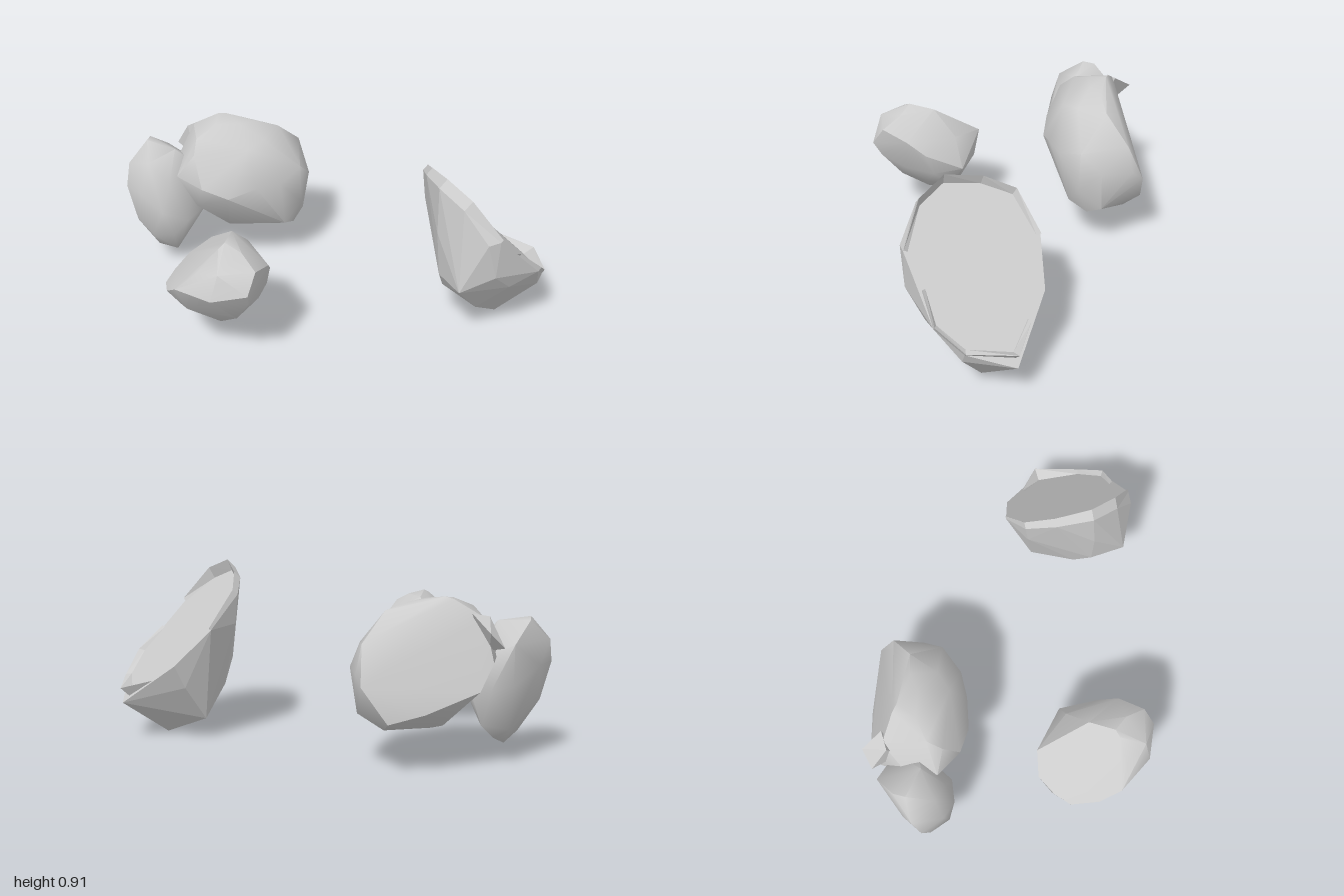
import * as THREE from 'three';
import { ConvexGeometry } from 'three/addons/geometries/ConvexGeometry.js';
import { toCreasedNormals } from 'three/addons/utils/BufferGeometryUtils.js';

const stone = new THREE.MeshStandardMaterial({ color: 0xcccccc, side: THREE.DoubleSide });
stone.name = 'greyStone';

const vectors = (list) => list.map((p) => new THREE.Vector3(...p));

// A stone chunk hulled from its corner points; edges sharper than crease stay hard
function chunk(name, points, crease) {
  const hull = new ConvexGeometry(points);
  const mesh = new THREE.Mesh(crease ? toCreasedNormals(hull, crease) : hull, stone);
  mesh.name = name;
  return mesh;
}

// Large boulder, split along a plane facing back and right
const largeBoulder = [
  // ridge along the top of the split
  [-0.72, 0.85, 0], [-0.76, 0.84, 0.02], [-0.6, 0.83, 0], [-0.46, 0.77, -0.05],
  [-0.52, 0.78, -0.2], [-0.88, 0.76, 0.1], [-0.53, 0.64, -0.36], [-0.58, 0.82, -0.1],
  // rounded front and side
  [-0.34, 0.6, -0.2], [-0.33, 0.55, -0.05], [-0.33, 0.38, -0.2], [-0.38, 0.55, 0.08],
  [-0.46, 0.5, 0.21], [-0.57, 0.55, 0.3], [-0.73, 0.58, 0.34], [-0.65, 0.72, 0.28],
  [-0.85, 0.6, 0.25], [-0.36, 0.27, -0.1], [-0.39, 0.5, -0.31], [-0.53, 0.5, -0.4],
  [-0.68, 0.83, 0.1], [-0.7, 0.78, 0.22], [-0.46, 0.75, 0.06],
  // underside
  [-0.4, 0.22, -0.2], [-0.64, 0.19, 0], [-0.5, 0.2, -0.1], [-0.7, 0.21, 0.02],
  [-0.6, 0.22, -0.28], [-0.55, 0.28, 0.14], [-0.66, 0.4, 0.27], [-0.42, 0.27, -0.29],
  // lower edge of the split
  [-0.59, 0.45, -0.42], [-0.68, 0.27, -0.33], [-0.8, 0.32, -0.2],
  [-0.94, 0.42, 0.02], [-0.95, 0.55, 0.1],
];

// Tall narrow boulder
const narrowBoulder = [
  [-0.99, 0.63, 0.2], [-0.97, 0.73, 0.33], [-0.93, 0.74, 0.38], [-0.79, 0.71, 0.3],
  [-0.72, 0.56, 0.4], [-0.66, 0.33, 0.34], [-0.71, 0.24, 0.4], [-0.77, 0.1, 0.34],
  [-0.82, 0.09, 0.33], [-0.9, 0.18, 0.28], [-0.97, 0.42, 0.22], [-0.95, 0.5, 0.52],
  [-0.97, 0.62, 0.48], [-0.82, 0.5, 0.52], [-0.9, 0.3, 0.5], [-0.78, 0.25, 0.49],
  [-0.72, 0.4, 0.46], [-0.82, 0.67, 0.46], [-0.98, 0.5, 0.4], [-0.8, 0.35, 0.12],
  [-0.84, 0.55, 0.12], [-0.7, 0.35, 0.18], [-0.82, 0.21, 0.16], [-0.75, 0.6, 0.2],
  [-0.9, 0.4, 0.14], [-0.83, 0.14, 0.42], [-0.82, 0.13, 0.25],
];

// Small splinter between the two boulders
const splinter = [
  [-0.97, 0.7, 0.05], [-0.85, 0.78, 0.05], [-0.9, 0.6, 0.12],
  [-0.88, 0.76, 0.14], [-0.98, 0.62, 0.14], [-0.82, 0.6, 0.15],
];

// Middle boulder with a tilted split on top
const middleBoulder = [
  // split face
  [-0.24, 0.5, 0.5], [-0.02, 0.65, 0.55], [0.09, 0.69, 0.65], [0.1, 0.69, 0.72],
  [0.07, 0.59, 0.83], [-0.01, 0.49, 0.91], [-0.12, 0.41, 0.88], [-0.24, 0.36, 0.8],
  [-0.28, 0.38, 0.71], [-0.3, 0.42, 0.6], [0.1, 0.71, 0.68], [0.02, 0.69, 0.57],
  // rounded body
  [0, 0.4, 0.36], [0.17, 0.5, 0.46], [0.24, 0.58, 0.53], [0.32, 0.53, 0.73],
  [0.3, 0.63, 0.66], [0.19, 0.68, 0.65], [0.2, 0.5, 0.86], [0.29, 0.46, 0.7],
  [0.17, 0.3, 0.68], [0.04, 0.21, 0.68], [-0.14, 0.18, 0.66], [-0.2, 0.2, 0.62],
  [-0.27, 0.28, 0.68], [-0.02, 0.56, 0.44], [-0.15, 0.4, 0.44], [0, 0.26, 0.47],
  [0, 0.35, 0.85], [0.12, 0.3, 0.52], [-0.15, 0.25, 0.77], [0.2, 0.63, 0.81],
  [0.22, 0.4, 0.58], [0.06, 0.22, 0.58], [-0.1, 0.21, 0.53], [0.13, 0.38, 0.45],
];

// Faceted shell: broken rim loop, and corners of the body below it
const rim = vectors([
  [0.35, 0.8, -0.46], [0.47, 0.87, -0.36], [0.64, 0.91, -0.28], [0.8, 0.85, -0.29],
  [0.95, 0.67, -0.36], [0.96, 0.53, -0.5], [1, 0.41, -0.63], [0.93, 0.3, -0.76],
  [0.74, 0.28, -0.91], [0.58, 0.33, -0.81], [0.45, 0.43, -0.77], [0.34, 0.62, -0.62],
]);
const shellBody = vectors([
  [0.83, 0.37, -0.2], [0.65, 0.37, -0.25], [0.64, 0.62, -0.23], [0.36, 0.62, -0.44],
  [0.47, 0.11, -0.56], [0.73, 0, -0.63], [0.6, 0.24, -0.34], [0.78, 0.16, -0.4],
  [0.92, 0.23, -0.72], [0.94, 0.45, -0.34], [0.74, 0.2, -0.9], [0.45, 0.3, -0.7],
  [0.92, 0.65, -0.29], [0.94, 0.56, -0.35], [0.93, 0.33, -0.47],
]);

// Drop the rim onto the flat split plane to get the floor outline
const splitNormal = new THREE.Vector3(0.23, 0.7, -0.67).normalize();
const splitHeight = 0.916;
const lipHeight = rim.map((p) => p.dot(splitNormal) - splitHeight);
const floor = rim.map((p, i) => p.clone().addScaledVector(splitNormal, -lipHeight[i]));

// Jagged lip standing above the floor: outer wall, then slope back inward
function lipGeometry() {
  const centre = new THREE.Vector3();
  floor.forEach((p) => centre.addScaledVector(p, 1 / floor.length));
  const inner = floor.map((p) => p.clone().lerp(centre, 0.06).addScaledVector(splitNormal, 0.002));
  const corners = [];
  const quad = (a, b, c, d) => corners.push(a, b, c, a, c, d);
  rim.forEach((p, i) => {
    const j = (i + 1) % rim.length;
    if (Math.max(lipHeight[i], lipHeight[j]) < 0.025) return;
    quad(floor[j], floor[i], p, rim[j]);
    quad(rim[j], p, inner[i], inner[j]);
  });
  const geometry = new THREE.BufferGeometry().setFromPoints(corners);
  geometry.computeVertexNormals();
  return geometry;
}

export function createModel() {
  const model = new THREE.Group();
  model.name = 'brokenBoulders';
  model.add(
    chunk('largeBoulder', vectors(largeBoulder), 0.8),
    chunk('narrowBoulder', vectors(narrowBoulder), 1.1),
    chunk('splinter', vectors(splinter)),
    chunk('middleBoulder', vectors(middleBoulder), 0.65),
  );

  const shell = new THREE.Group();
  shell.name = 'facetedBoulder';
  const lip = new THREE.Mesh(lipGeometry(), stone);
  lip.name = 'brokenLip';
  shell.add(chunk('facetedBody', [...floor, ...shellBody]), lip);
  model.add(shell);
  return model;
}
